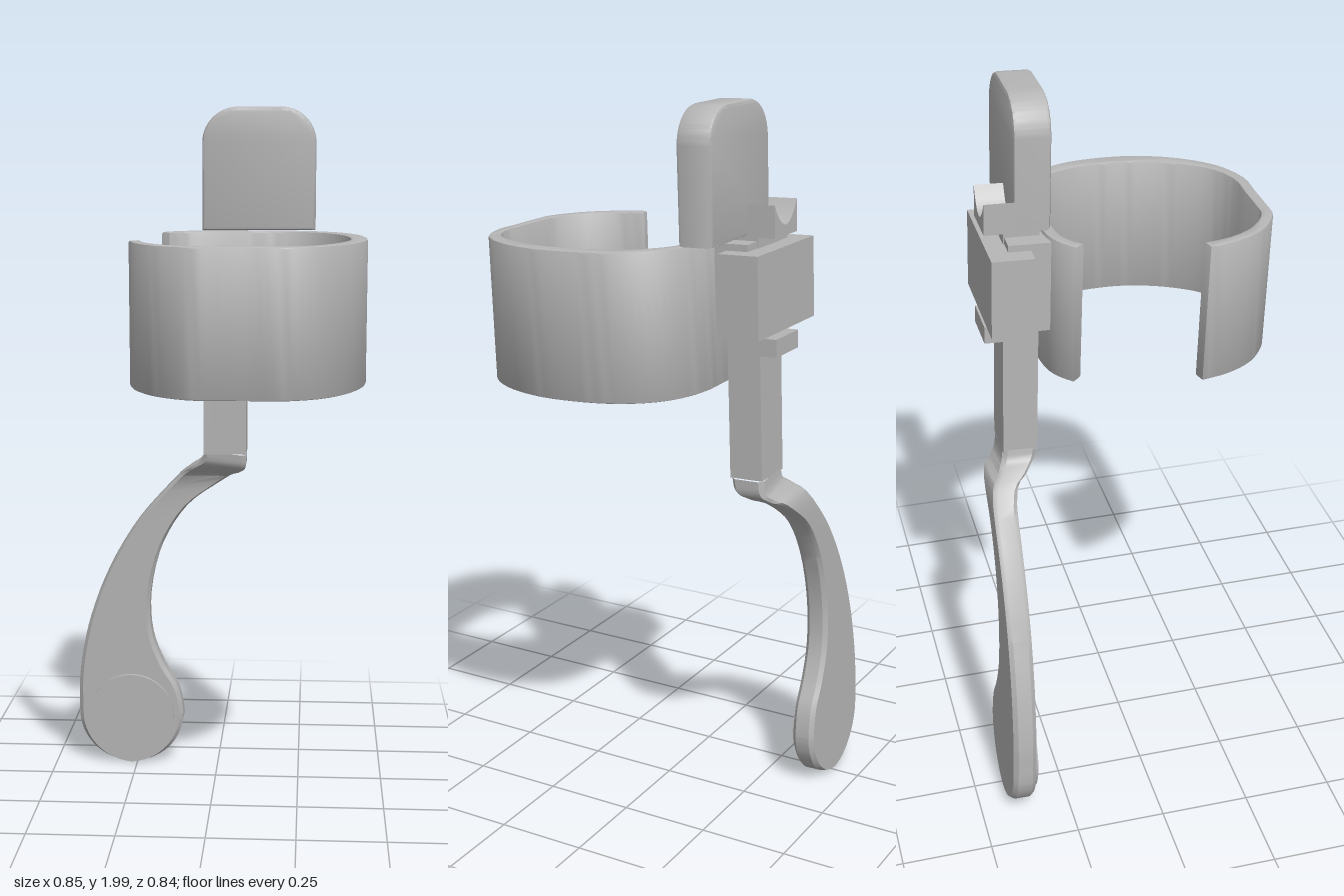
import * as THREE from 'three';
import { toCreasedNormals } from 'three/addons/utils/BufferGeometryUtils.js';

const grey = new THREE.MeshStandardMaterial({ color: 0xb6b6b6 });
grey.name = 'plain grey';

function add(group, name, geometry) {
  const mesh = new THREE.Mesh(geometry, grey);
  mesh.name = name;
  group.add(mesh);
  return mesh;
}

// box given by its limits on each axis
function block(group, name, x0, x1, y0, y1, z0, z1) {
  const g = new THREE.BoxGeometry(x1 - x0, y1 - y0, z1 - z0);
  g.translate((x0 + x1) / 2, (y0 + y1) / 2, (z0 + z1) / 2);
  return add(group, name, g);
}

function extrude(shape, depth, bevel) {
  const g = new THREE.ExtrudeGeometry(shape, {
    depth: depth - 2 * bevel, curveSegments: 12, bevelEnabled: bevel > 0,
    bevelSize: bevel, bevelOffset: -bevel, bevelThickness: bevel, bevelSegments: 2,
  });
  g.translate(0, 0, bevel);
  return toCreasedNormals(g, 0.6);
}

// open band around the centre line (x, z), thicker on the closed side
function cuffGeometry() {
  const line = [
    [-0.19, 0.185], [-0.167, 0.265], [-0.115, 0.345], [-0.03, 0.4], [0.02, 0.403], [0.12, 0.403],
    [0.21, 0.402], [0.295, 0.362], [0.362, 0.27], [0.398, 0.16], [0.403, 0.07], [0.386, -0.04],
    [0.345, -0.12], [0.285, -0.172], [0.2, -0.197], [0.1, -0.197], [0, -0.195], [-0.07, -0.183],
    [-0.11, -0.16], [-0.135, -0.135],
  ];
  const curve = new THREE.CatmullRomCurve3(line.map(([x, z]) => new THREE.Vector3(x, 0.057 - z, 0)));
  const outer = [], inner = [];
  const n = 80;
  for (let i = 0; i <= n; i++) {
    const p = curve.getPointAt(i / n), t = curve.getTangentAt(i / n);
    const h = 0.016 + 0.007 * THREE.MathUtils.smoothstep(p.x, 0.25, 0.4);
    outer.push(new THREE.Vector2(p.x + t.y * h, p.y - t.x * h));
    inner.unshift(new THREE.Vector2(p.x - t.y * h, p.y + t.x * h));
  }
  const g = extrude(new THREE.Shape([...outer, ...inner]), 0.39, 0.006);
  g.rotateX(-Math.PI / 2);
  g.translate(0, 1.255, 0);
  return g;
}

// curved lever: chamfered cross-sections between a left and a right edge
function leverGeometry() {
  // left x, y, right x, y, bend (0 = stem depth, 1 = lever depth)
  const rows = [
    [-0.035, 1.01, 0.09, 1.0, 0], [-0.04, 0.988, 0.089, 0.97, 0.05], [-0.075, 0.957, 0.07, 0.942, 0.4],
    [-0.14, 0.895, 0.01, 0.905, 0.95], [-0.24, 0.78, -0.09, 0.83, 1], [-0.33, 0.63, -0.165, 0.71, 1],
    [-0.388, 0.48, -0.205, 0.55, 1], [-0.416, 0.36, -0.2, 0.42, 1], [-0.427, 0.27, -0.165, 0.325, 1],
    [-0.428, 0.21, -0.122, 0.25, 1],
  ];
  // round end
  for (let i = 0; i <= 8; i++) {
    const a = (i / 8) * 1.54, c = 0.161 * Math.cos(a), y = 0.17 - 0.161 * Math.sin(a);
    rows.push([-0.267 - c, y, -0.267 + c, y, 1]);
  }
  const left = new THREE.CatmullRomCurve3(rows.map(r => new THREE.Vector3(r[0], r[1], r[4])));
  const right = new THREE.CatmullRomCurve3(rows.map(r => new THREE.Vector3(r[2], r[3], r[4])));
  const n = (rows.length - 1) * 4, pos = [], idx = [];
  for (let i = 0; i <= n; i++) {
    const a = left.getPoint(i / n), b = right.getPoint(i / n);
    const s = THREE.MathUtils.clamp(a.z, 0, 1);
    const mid = -0.3225 - 0.065 * s, half = 0.0475 - 0.015 * s;
    const w = Math.hypot(b.x - a.x, b.y - a.y);
    const c = Math.min(0.012, w * 0.3), k = c / w, d = half - 0.012;
    for (const [u, z] of [[k, half], [1 - k, half], [1, d], [1, -d], [1 - k, -half], [k, -half], [0, -d], [0, d]])
      pos.push(a.x + (b.x - a.x) * u, a.y + (b.y - a.y) * u - 0.0135, mid + z);
    if (i === n) continue;
    for (let j = 0; j < 8; j++) {
      const p = i * 8 + j, q = i * 8 + (j + 1) % 8;
      idx.push(p, p + 8, q, q, p + 8, q + 8);
    }
  }
  for (let j = 1; j < 7; j++) idx.push(n * 8, n * 8 + j + 1, n * 8 + j);
  const g = new THREE.BufferGeometry();
  g.setAttribute('position', new THREE.Float32BufferAttribute(pos, 3));
  g.setIndex(idx);
  return toCreasedNormals(g, 0.6);
}

export function createModel() {
  const model = new THREE.Group();
  model.name = 'cuffWithLever';
  const body = new THREE.Group();
  body.name = 'tiltedBody';
  body.rotation.x = 0.035;
  model.add(body);

  add(body, 'cuff', cuffGeometry());

  // upper paddle with rounded top corners
  const x0 = -0.035, x1 = 0.287, y0 = 1.647, y1 = 1.991, r = 0.1;
  const outline = new THREE.Shape();
  outline.moveTo(x0, y0);
  outline.lineTo(x1, y0);
  outline.lineTo(x1, y1 - r);
  outline.absarc(x1 - r, y1 - r, r, 0, Math.PI / 2, false);
  outline.absarc(x0 + r, y1 - r, r, Math.PI / 2, Math.PI, false);
  outline.lineTo(x0, y0);
  add(body, 'paddle', extrude(outline, 0.098, 0.01)).position.z = -0.343;

  // stem and lever
  block(body, 'stem', -0.035, 0.09, 0.99, 1.66, -0.37, -0.275);
  add(body, 'lever', leverGeometry());
  const pad = new THREE.CylinderGeometry(0.13, 0.13, 0.02, 48);
  pad.rotateX(Math.PI / 2);
  add(body, 'leverPad', pad).position.set(-0.265, 0.152, -0.354);

  // cuff mount held by a clip that wraps its back and sides
  block(body, 'cuffMount', -0.085, 0.145, 1.385, 1.635, -0.367, -0.255);
  block(body, 'clipBack', -0.135, 0.195, 1.4, 1.617, -0.42, -0.367);
  block(body, 'clipSide', -0.135, -0.085, 1.4, 1.617, -0.367, -0.307);
  block(body, 'clipSide', 0.145, 0.195, 1.4, 1.617, -0.367, -0.307);

  // stops above and below the clip; the upper one has a hollowed top
  block(body, 'lowerStop', -0.035, 0.095, 1.335, 1.383, -0.42, -0.33);
  const saddle = new THREE.Shape();
  saddle.moveTo(-0.035, 1.645);
  saddle.lineTo(0.095, 1.645);
  saddle.lineTo(0.095, 1.73);
  saddle.quadraticCurveTo(0.03, 1.615, -0.035, 1.73);
  saddle.lineTo(-0.035, 1.645);
  add(body, 'upperStop', extrude(saddle, 0.085, 0)).position.z = -0.42;

  return model;
}
